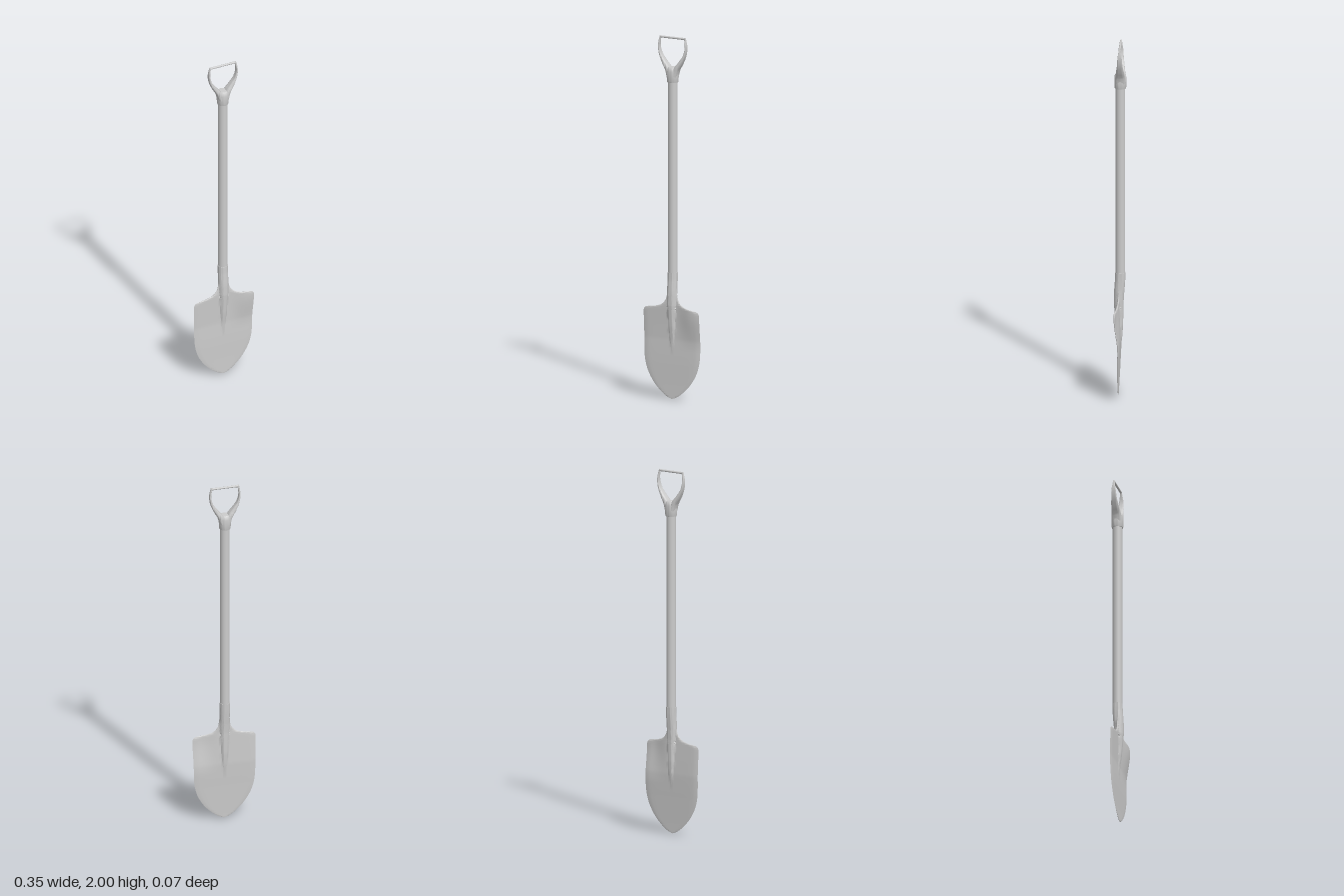
import * as THREE from 'three';
import { toCreasedNormals } from 'three/addons/utils/BufferGeometryUtils.js';

const material = new THREE.MeshStandardMaterial({ color: 0xcccccc, roughness: 0.7 });
const { smoothstep, lerp } = THREE.MathUtils;

// Eased lookup in a short table of [key, value] pairs
function lookup(table, k) {
  for (let i = 1; i < table.length; i++) {
    const [k0, v0] = table[i - 1], [k1, v1] = table[i];
    if (k <= k1) return lerp(v0, v1, Math.max(0, (k - k0) / (k1 - k0)));
  }
  return table[table.length - 1][1];
}

// Skin over closed rings of equal length, capped at both ends
function loft(rings, crease) {
  const n = rings[0].length, pos = [], index = [];
  for (const ring of rings) for (const p of ring) pos.push(p.x, p.y, p.z);
  for (let i = 0; i < rings.length - 1; i++) {
    for (let j = 0; j < n; j++) {
      const a = i * n + j, b = i * n + (j + 1) % n;
      index.push(a, a + n, b, b, a + n, b + n);
    }
  }
  [0, rings.length - 1].forEach((r, end) => {
    const c = new THREE.Vector3();
    rings[r].forEach((p) => c.addScaledVector(p, 1 / n));
    const ci = pos.length / 3;
    pos.push(c.x, c.y, c.z);
    for (let j = 0; j < n; j++) {
      const a = r * n + j, b = r * n + (j + 1) % n;
      if (end) index.push(ci, b, a); else index.push(ci, a, b);
    }
  });
  const g = new THREE.BufferGeometry();
  g.setAttribute('position', new THREE.Float32BufferAttribute(pos, 3));
  g.setIndex(index);
  return toCreasedNormals(g, crease);
}

function part(name, geometry) {
  const mesh = new THREE.Mesh(geometry, material);
  mesh.name = name;
  return mesh;
}

// Blade and socket: rows from the tip up, each a thin plate with a round ridge
function bladeGeometry() {
  const outline = new THREE.CatmullRomCurve3([
    [0.001, 0.002], [0.03, 0.013], [0.07, 0.042], [0.115, 0.09], [0.15, 0.15], [0.167, 0.21],
    [0.172, 0.27], [0.173, 0.34], [0.174, 0.40], [0.175, 0.46], [0.174, 0.482], [0.163, 0.496],
    [0.14, 0.502], [0.1, 0.508], [0.062, 0.522], [0.038, 0.55], [0.03, 0.59], [0.028, 0.64], [0.028, 0.7],
  ].map(([x, y]) => new THREE.Vector3(x, y, 0)));
  const ridge = [[0.2, 0], [0.33, 0.013], [0.4, 0.02], [0.52, 0.026], [0.6, 0.028], [0.7, 0.028]];
  const axis = [[0, 0.011], [0.2, 0.007], [0.33, 0.003], [0.4, 0.005], [0.52, 0.009], [0.58, 0.007], [0.66, 0.001], [0.7, 0]];
  const rows = 108, cols = 40, rings = [];
  for (let i = 0; i <= rows; i++) {
    const { x: w, y } = outline.getPoint(i / rows);
    const r = Math.min(lookup(ridge, y), Math.max(w, 0.001));
    const c = lookup(axis, y);
    const wide = smoothstep(w, 0.03, 0.1);
    const plate = 0.0015 + 0.0035 * smoothstep(y, 0, 0.3);
    const ring = [];
    for (let j = 0; j < cols * 2; j++) {
      const front = j <= cols;
      const u = front ? 1 - 2 * j / cols : 2 * (j - cols) / cols - 1;
      const x = w * lerp(Math.sin(u * Math.PI / 2), u * Math.abs(u), wide);
      const edge = Math.sqrt(Math.max(0, 1 - (x / w) ** 8));
      const half = Math.max(plate * edge, Math.sqrt(Math.max(0, r * r - x * x)));
      // The left shoulder curls forward
      const curl = 0.017 * smoothstep(x, 0.02, 0.13) * smoothstep(y, 0.27, 0.48);
      ring.push(new THREE.Vector3(x, y, c + curl + (front ? half : -half)));
    }
    rings.push(ring);
  }
  return loft(rings, 0.8);
}

// One arm of the handle yoke: a tapering rounded bar
function armGeometry() {
  const stations = [ // x, y, half width, half depth
    [0.014, 1.785, 0.016, 0.028], [0.026, 1.822, 0.015, 0.026], [0.05, 1.858, 0.0115, 0.021],
    [0.073, 1.9, 0.007, 0.015], [0.082, 1.942, 0.005, 0.012], [0.08, 1.97, 0.005, 0.008], [0.074, 2.0, 0.005, 0.004],
  ];
  const path = new THREE.CatmullRomCurve3(stations.map((s) => new THREE.Vector3(s[0], s[1], 0)));
  const size = new THREE.CatmullRomCurve3(stations.map((s) => new THREE.Vector3(s[2], s[3], 0)));
  const round = (v) => Math.sign(v) * Math.abs(v) ** 0.7;
  const rings = [];
  for (let i = 0; i <= 30; i++) {
    const p = path.getPoint(i / 30), t = path.getTangent(i / 30), s = size.getPoint(i / 30);
    const ring = [];
    for (let j = 0; j < 24; j++) {
      const a = j / 24 * Math.PI * 2, q = round(Math.cos(a)) * s.x;
      ring.push(new THREE.Vector3(p.x + t.y * q, Math.min(2, p.y - t.x * q), round(Math.sin(a)) * s.y));
    }
    rings.push(ring);
  }
  return loft(rings, 0.8);
}

export function createModel() {
  const group = new THREE.Group();
  group.name = 'shovel';

  group.add(part('blade', bladeGeometry()));

  // Shaft
  const shaft = part('shaft', new THREE.CylinderGeometry(0.026, 0.026, 1.1, 32));
  shaft.position.y = 1.23;
  group.add(shaft);

  // Handle: collar, two mirrored arms and a grip bar
  const handle = new THREE.Group();
  handle.name = 'handle';
  const profile = [[0.025, 1.75], [0.03, 1.75], [0.032, 1.757], [0.033, 1.79], [0.033, 1.81],
    [0.03, 1.826], [0.024, 1.833], [0, 1.834]].map(([x, y]) => new THREE.Vector2(x, y));
  handle.add(part('collar', toCreasedNormals(new THREE.LatheGeometry(profile, 32), 0.8)));
  const arm = armGeometry();
  for (const side of [0, 1]) {
    const mesh = part(side ? 'rightArm' : 'leftArm', arm);
    mesh.rotation.y = side * Math.PI;
    handle.add(mesh);
  }
  const grip = part('grip', new THREE.CylinderGeometry(0.006, 0.006, 0.15, 16));
  grip.rotation.z = Math.PI / 2;
  grip.position.y = 1.994;
  handle.add(grip);
  group.add(handle);

  return group;
}
